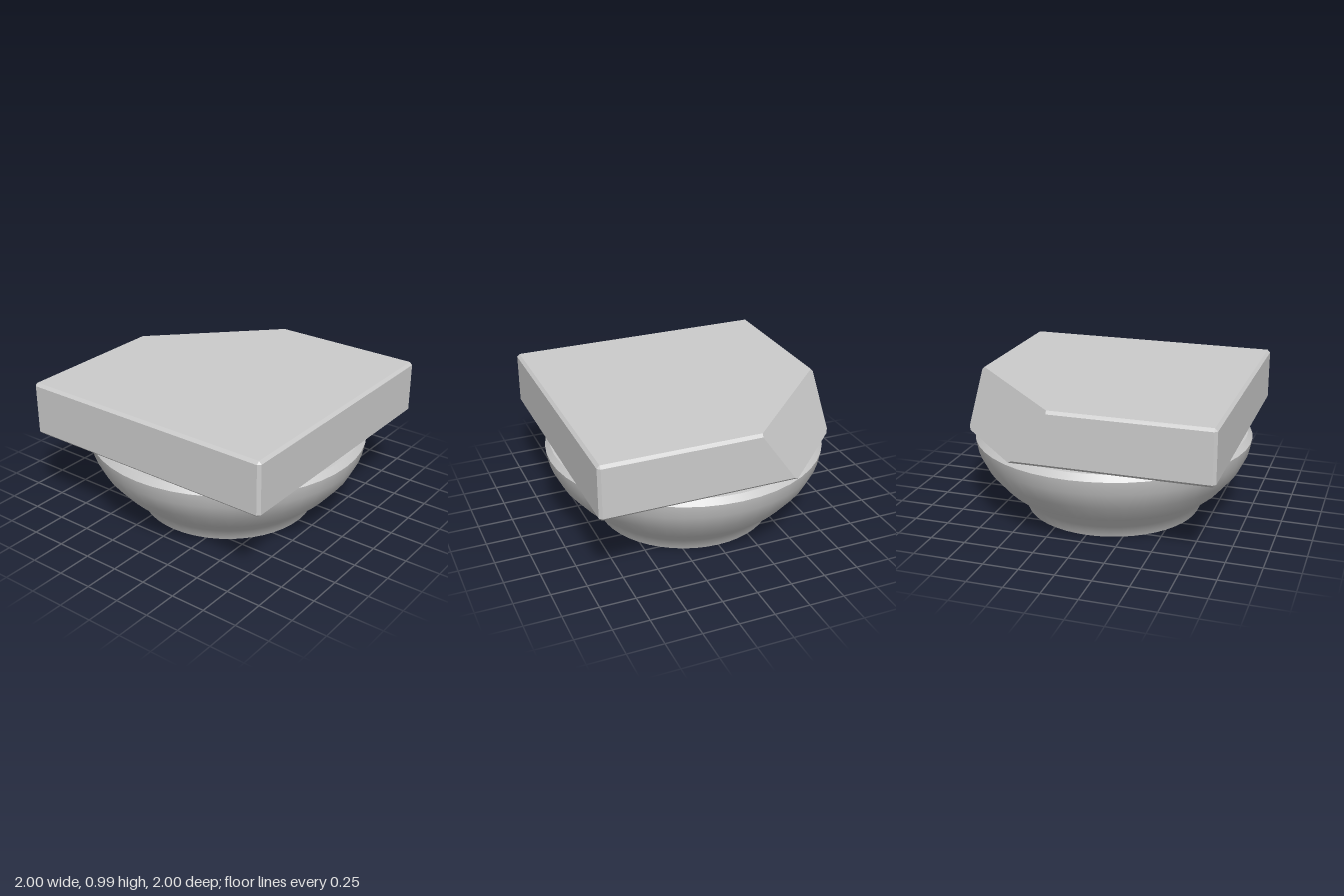
import * as THREE from 'three';
import { ConvexGeometry } from 'three/addons/geometries/ConvexGeometry.js';

const SEGMENTS = 48;

// Bands of a turned body; every band keeps its own normals, so joints stay sharp
function turned(name, bands, material) {
  const group = new THREE.Group();
  group.name = name;
  for (const [bandName, profile] of Object.entries(bands)) {
    const points = profile.map(([r, y]) => new THREE.Vector2(r, y));
    const mesh = new THREE.Mesh(new THREE.LatheGeometry(points, SEGMENTS), material);
    mesh.name = bandName;
    group.add(mesh);
  }
  return group;
}

// Bevelled square slab with a sloping cut across its back corner
function slabGeometry(half, bottom, top, bevel) {
  const points = [];
  const add = (x, y, z) => points.push(new THREE.Vector3(x, y, z));
  const inner = half - bevel;

  // Three whole corners, each with bevelled edges
  for (const [sx, sz] of [[1, 1], [1, -1], [-1, 1]]) {
    for (const [edge, shoulder] of [[bottom, bottom + bevel], [top, top - bevel]]) {
      add(sx * inner, edge, sz * inner);
      add(sx * half, shoulder, sz * inner);
      add(sx * inner, shoulder, sz * half);
    }
  }

  // Cut plane: x + z = -reach, leaning inwards towards the top
  for (const [y, side] of [[bottom, inner], [bottom + bevel, half], [top - bevel, half], [top, inner]]) {
    const reach = THREE.MathUtils.mapLinear(y, bottom, top, 1.374, 1.095);
    add(side - reach, y, -side);
    add(-side, y, side - reach);
  }
  return new ConvexGeometry(points);
}

export function createModel() {
  const model = new THREE.Group();
  model.name = 'slabOnBowl';
  const grey = new THREE.MeshStandardMaterial({ color: 0xcccccc });

  // Round bowl-shaped foot
  model.add(turned('bowl', {
    base: [[0, 0], [0.635, 0]],
    wall: [[0.635, 0], [0.675, 0.09], [0.81, 0.205], [0.92, 0.335], [0.982, 0.46], [1, 0.555]],
    lip: [[1, 0.555], [0.968, 0.598]],
    cap: [[0.968, 0.598], [0, 0.598]],
  }, grey));

  // Square slab on top
  const slab = new THREE.Mesh(slabGeometry(0.96, 0.6, 0.99, 0.02), grey);
  slab.name = 'slab';
  model.add(slab);

  return model;
}
